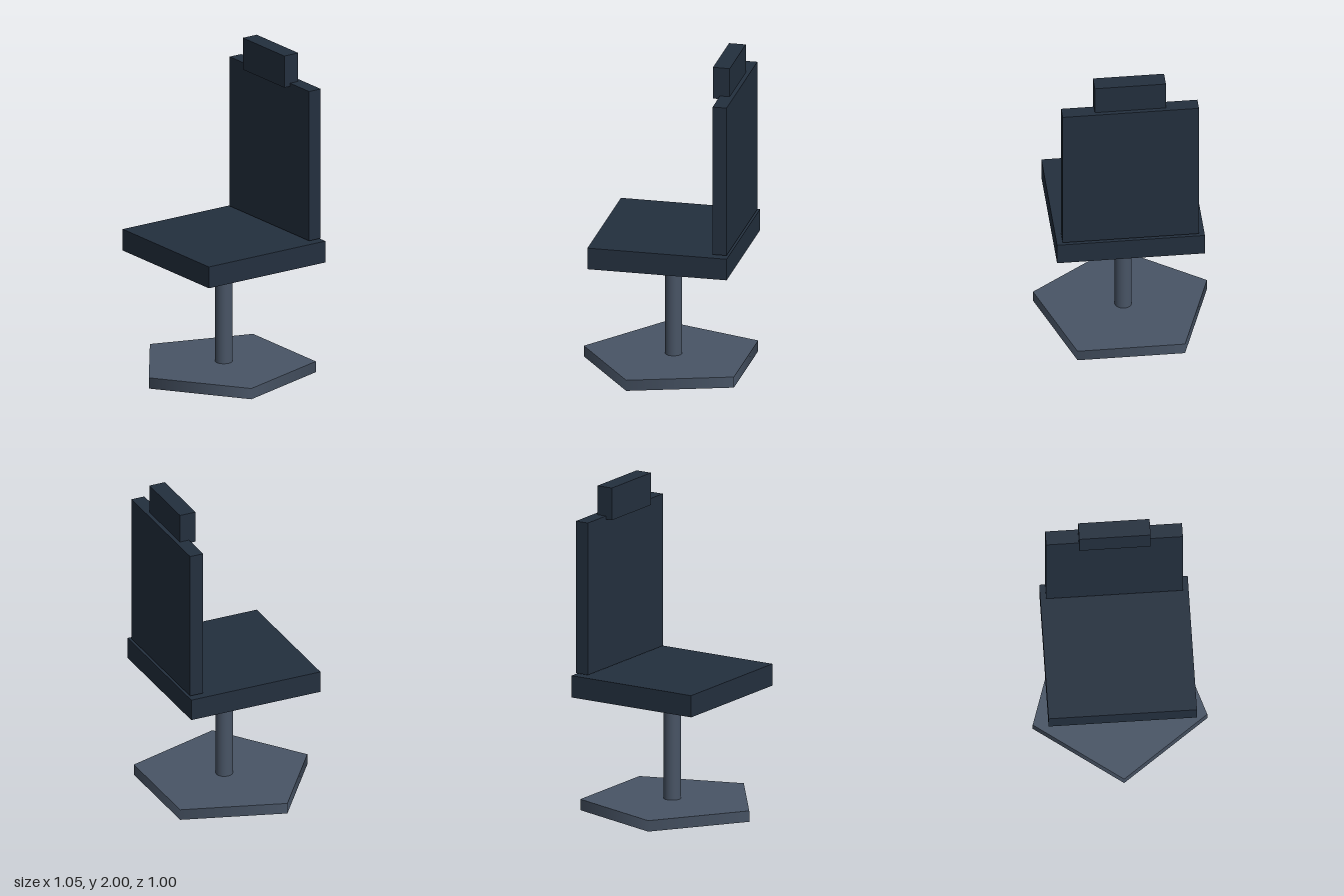
import * as THREE from 'three';

export function createModel() {
  const model = new THREE.Group();
  model.name = 'swivelChair';

  const upholstery = new THREE.MeshStandardMaterial({ color: 0x232f3e });
  upholstery.name = 'dark navy upholstery';
  const metal = new THREE.MeshStandardMaterial({ color: 0x485465 });
  metal.name = 'slate metal';

  const add = (name, geometry, material, y, z) => {
    const mesh = new THREE.Mesh(geometry, material);
    mesh.name = name;
    mesh.position.set(0, y, z);
    model.add(mesh);
  };

  // Cushion given by its width, vertical range and depth range
  const cushion = (name, width, y0, y1, z0, z1) =>
    add(name, new THREE.BoxGeometry(width, y1 - y0, z1 - z0), upholstery, (y0 + y1) / 2, (z0 + z1) / 2);

  // Five-sided foot with one corner pointing forward, and its round column
  const axisZ = -0.053;
  add('base', new THREE.CylinderGeometry(0.553, 0.553, 0.068, 5), metal, 0.034, axisZ);
  add('column', new THREE.CylinderGeometry(0.052, 0.052, 0.6, 32), metal, 0.348, axisZ);

  // Seat, backrest and headrest
  cushion('seat', 0.894, 0.73, 0.865, -0.484, 0.375);
  cushion('backrest', 0.824, 0.875, 1.82, -0.475, -0.389);
  cushion('headrest', 0.43, 1.8, 2, -0.449, -0.346);

  return model;
}
